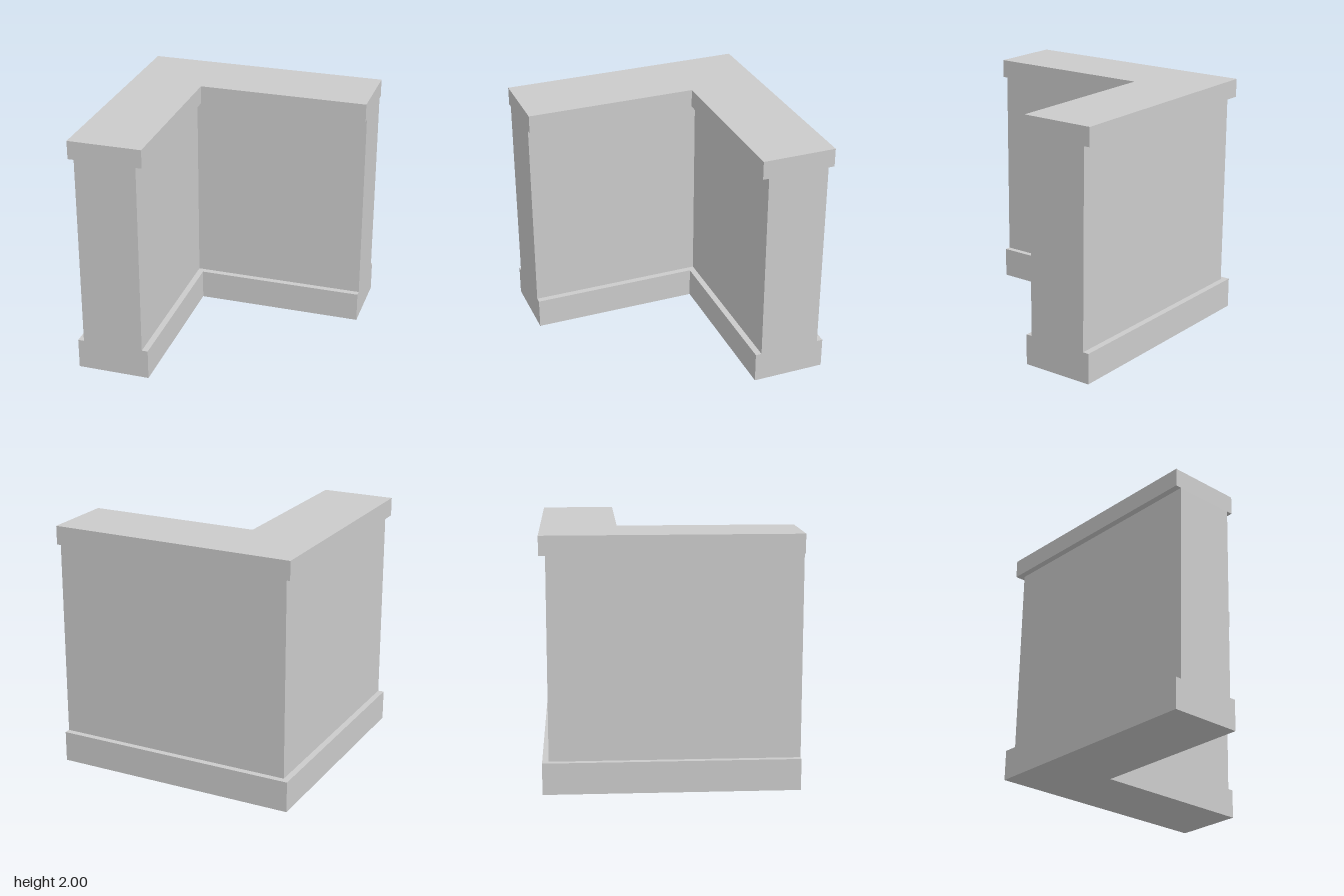
import * as THREE from 'three';

const material = new THREE.MeshStandardMaterial({ color: 0xcccccc, flatShading: true });

// L-shaped course of the corner wall: outer and inner are distances from the
// centre lines to the outer and inner faces; both arms end flush at +1.
function cornerCourse(name, outer, inner, bottom, top) {
  const shape = new THREE.Shape([
    [-outer, -1], [-inner, -1], [-inner, inner],
    [1, inner], [1, outer], [-outer, outer],
  ].map(([x, y]) => new THREE.Vector2(x, y)));
  const geometry = new THREE.ExtrudeGeometry(shape, { depth: top - bottom, bevelEnabled: false });
  geometry.rotateX(-Math.PI / 2);
  geometry.translate(0, bottom, 0);
  const mesh = new THREE.Mesh(geometry, material);
  mesh.name = name;
  return mesh;
}

export function createModel() {
  const model = new THREE.Group();
  model.name = 'cornerWall';
  model.add(
    cornerCourse('basePlinth', 1, 0.4, 0, 0.25),
    cornerCourse('wallBody', 0.95, 0.45, 0.25, 1.85),
    cornerCourse('topCoping', 1, 0.4, 1.85, 2),
  );
  return model;
}
